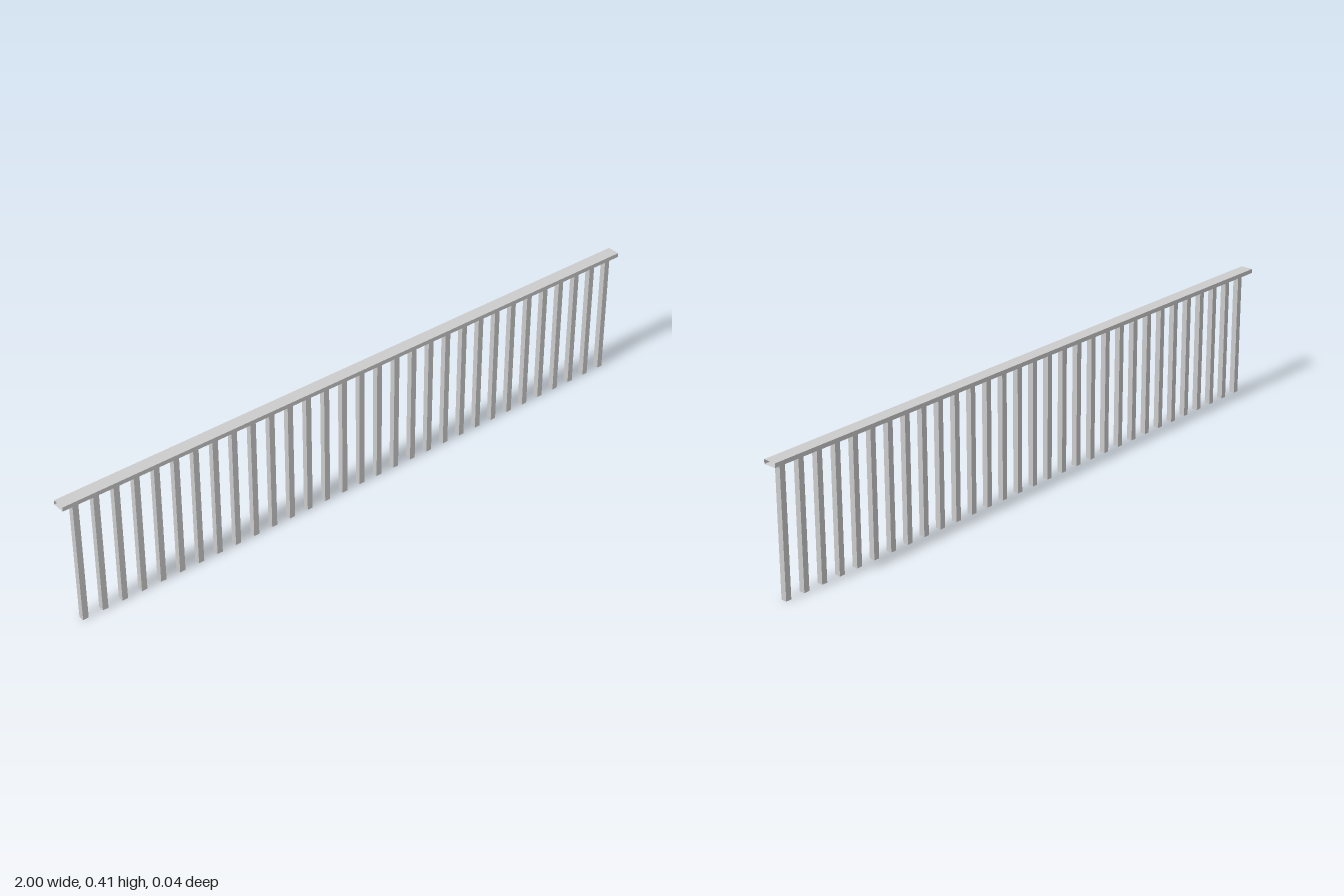
import * as THREE from 'three';

const BAR_COUNT = 31;
const BAR_SPACING = 0.064;
const BAR_SIZE = 0.018;
const BAR_HEIGHT = 0.392;
const RAIL_HEIGHT = 0.013;
const RAIL_DEPTH = 0.04;

export function createModel() {
  const group = new THREE.Group();
  group.name = 'railing';
  const material = new THREE.MeshStandardMaterial({ color: 0xcccccc, flatShading: true });

  // Handrail: a flat rectangular tube, open at both ends (the two x faces come first in the index)
  const railGeometry = new THREE.BoxGeometry(2, RAIL_HEIGHT, RAIL_DEPTH);
  railGeometry.setIndex(Array.from(railGeometry.index.array).slice(12));
  railGeometry.clearGroups();
  const railMaterial = material.clone();
  railMaterial.side = THREE.DoubleSide;
  const rail = new THREE.Mesh(railGeometry, railMaterial);
  rail.name = 'handrail';
  rail.position.y = BAR_HEIGHT + RAIL_HEIGHT / 2;
  group.add(rail);

  // Balusters: evenly spaced square bars under the rail
  const barGeometry = new THREE.BoxGeometry(BAR_SIZE, BAR_HEIGHT, BAR_SIZE);
  const balusters = new THREE.Group();
  balusters.name = 'balusters';
  for (let i = 0; i < BAR_COUNT; i++) {
    const bar = new THREE.Mesh(barGeometry, material);
    bar.name = `baluster${i + 1}`;
    bar.position.set(-0.955 + i * BAR_SPACING, BAR_HEIGHT / 2, 0.001);
    balusters.add(bar);
  }
  group.add(balusters);

  return group;
}
